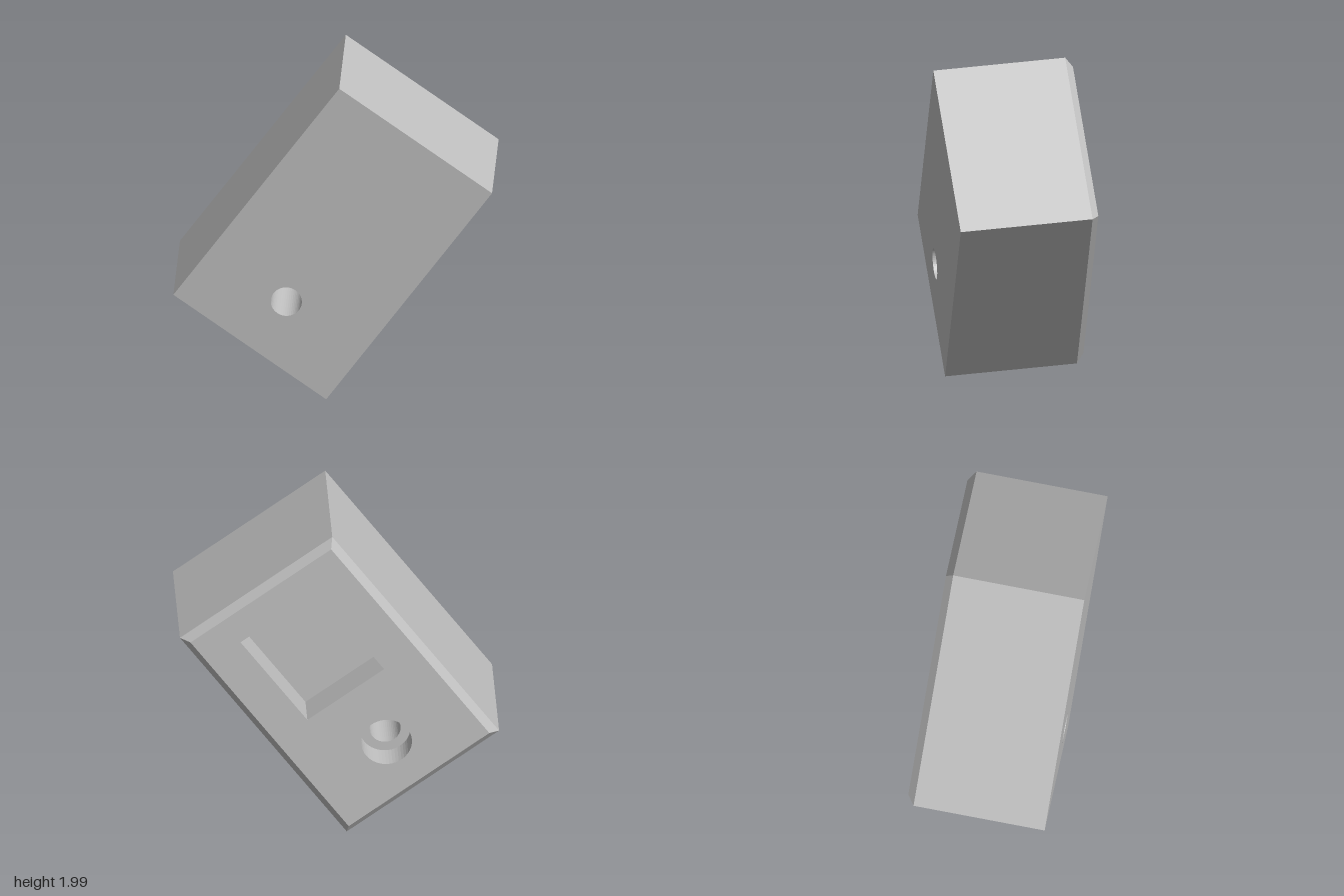
import * as THREE from 'three';

// Block dimensions, in the block's own frame (z runs from the plain face to the pocketed face)
const W = 1.092, H = 1.634, DEPTH = 0.771, CHAMFER = 0.042;
const TOP = DEPTH + CHAMFER;
const POCKET_FLOOR = TOP - 0.21, SHELF = TOP - 0.16;
const BORE_Y = -0.457;

// Counter-clockwise outlines
function rect(x0, y0, x1, y1) {
  return [[x0, y0], [x1, y0], [x1, y1], [x0, y1]].map(([x, y]) => new THREE.Vector2(x, y));
}

function circle(radius, sides = 48) {
  return Array.from({ length: sides }, (_, i) => {
    const t = (i / sides) * Math.PI * 2;
    return new THREE.Vector2(radius * Math.cos(t), BORE_Y + radius * Math.sin(t));
  });
}

// Flat face with holes
function plate(outline, holes, z) {
  const shape = new THREE.Shape(outline);
  holes.forEach((h) => shape.holes.push(new THREE.Path(h)));
  return new THREE.ShapeGeometry(shape).translate(0, 0, z);
}

// Wall between two outlines: faces outward when zA < zB, inward when zA > zB
function band(a, zA, b, zB) {
  const pos = [];
  a.forEach((p, i) => {
    const j = (i + 1) % a.length;
    const q = a[j], r = b[j], s = b[i];
    pos.push(p.x, p.y, zA, q.x, q.y, zA, r.x, r.y, zB);
    pos.push(p.x, p.y, zA, r.x, r.y, zB, s.x, s.y, zB);
  });
  const g = new THREE.BufferGeometry();
  g.setAttribute('position', new THREE.Float32BufferAttribute(pos, 3));
  g.computeVertexNormals();
  return g;
}

export function createModel() {
  const grey = new THREE.MeshStandardMaterial({ color: 0xbfbfbf });
  grey.name = 'plain grey';

  const block = new THREE.Group();
  block.name = 'tiltedBlock';
  const add = (name, geometry) => {
    const mesh = new THREE.Mesh(geometry, grey);
    mesh.name = name;
    block.add(mesh);
  };

  const outer = rect(-W / 2, -H / 2, W / 2, H / 2);
  const inner = rect(-W / 2 + CHAMFER, -H / 2 + CHAMFER, W / 2 - CHAMFER, H / 2 - CHAMFER);
  const pocket = rect(-0.275, -0.057, 0.275, 0.598);
  const wideBore = circle(0.147);
  const narrowBore = circle(0.09);

  // Outside of the block
  add('plainFace', plate(outer, [narrowBore], 0).rotateY(Math.PI));
  add('sideWalls', band(outer, 0, outer, DEPTH));
  add('chamfer', band(outer, DEPTH, inner, TOP));
  add('pocketedFace', plate(inner, [pocket, wideBore], TOP));

  // Rectangular pocket
  add('pocketWalls', band(pocket, TOP, pocket, POCKET_FLOOR));
  add('pocketFloor', plate(pocket, [], POCKET_FLOOR));

  // Counterbored through hole
  add('wideBoreWall', band(wideBore, TOP, wideBore, SHELF));
  add('boreShelf', plate(wideBore, [narrowBore], SHELF));
  add('narrowBoreWall', band(narrowBore, SHELF, narrowBore, 0));

  // Tilt the block so that it balances on one corner
  const y = new THREE.Vector3(0.392, 0.808, 0.441).normalize();
  const z = new THREE.Vector3(-0.586, 0.591, -0.554).cross(y).normalize();
  const x = new THREE.Vector3().crossVectors(y, z);
  block.quaternion.setFromRotationMatrix(new THREE.Matrix4().makeBasis(x, y, z));
  block.position.set(-0.28, 0.987, 0.274);

  const model = new THREE.Group();
  model.name = 'model';
  model.add(block);
  return model;
}
